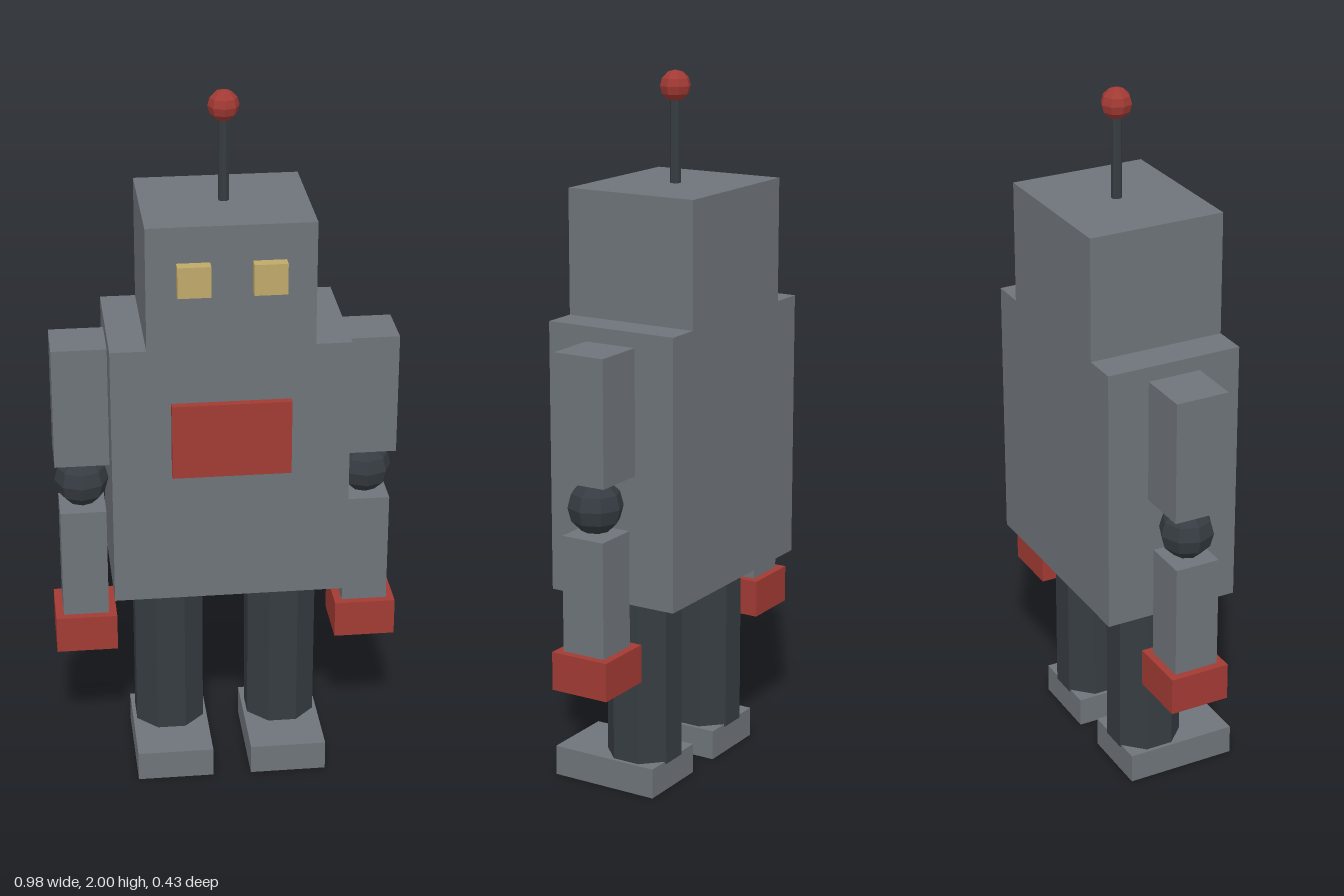
import * as THREE from 'three';

const flat = (name, color) => {
  const m = new THREE.MeshStandardMaterial({ color });
  m.name = name;
  m.flatShading = true;
  return m;
};

export function createModel() {
  const robot = new THREE.Group();
  robot.name = 'robot';
  const steel = flat('steel grey', 0x6e747a);
  const dark = flat('dark iron', 0x363c42);
  const red = flat('red', 0xa23a34);
  const amber = flat('amber', 0xc0a96a);
  const Z = -0.018; // depth centre of the body

  const add = (parent, name, geometry, material, x, y, z) => {
    const mesh = new THREE.Mesh(geometry, material);
    mesh.name = name;
    mesh.position.set(x, y, z);
    parent.add(mesh);
    return mesh;
  };
  // box from its bounds
  const box = (parent, name, material, x0, x1, y0, y1, z0, z1) =>
    add(parent, name, new THREE.BoxGeometry(x1 - x0, y1 - y0, z1 - z0), material,
      (x0 + x1) / 2, (y0 + y1) / 2, (z0 + z1) / 2);
  // eight-sided post with flats facing the axes
  const post = (parent, name, r, x, y0, y1) =>
    add(parent, name, new THREE.CylinderGeometry(r, r, y1 - y0, 8), dark,
      x, (y0 + y1) / 2, Z).rotation.y = Math.PI / 8;
  const ball = (parent, name, material, r, x, y) =>
    add(parent, name, new THREE.SphereGeometry(r, 8, 6), material, x, y, Z);

  // torso, head and chest panel
  box(robot, 'torso', steel, -0.328, 0.328, 0.583, 1.344, -0.215, 0.179);
  box(robot, 'head', steel, -0.229, 0.229, 1.344, 1.693, -0.215, 0.179);
  box(robot, 'chestPanel', red, -0.164, 0.164, 0.97, 1.186, 0.17, 0.201);

  // antenna
  post(robot, 'antennaRod', 0.015, 0, 1.68, 1.925);
  ball(robot, 'antennaTip', red, 0.043, 0, 1.957);

  for (const [side, s] of [['left', 1], ['right', -1]]) {
    // eye
    const cx = s * 0.102;
    box(robot, side + 'Eye', amber, cx - 0.045, cx + 0.045, 1.505, 1.592, 0.17, 0.212);

    // arm
    const arm = new THREE.Group();
    arm.name = side + 'Arm';
    robot.add(arm);
    const ax = s * 0.404;
    const segment = (name, material, w, y0, y1) =>
      box(arm, name, material, ax - w, ax + w, y0, y1, Z - w, Z + w);
    segment('upperArm', steel, 0.077, 0.95, 1.302);
    ball(arm, 'elbow', dark, 0.077, ax, 0.874);
    segment('forearm', steel, 0.065, 0.469, 0.797);
    segment('hand', red, 0.0875, 0.36, 0.469);

    // leg
    const leg = new THREE.Group();
    leg.name = side + 'Leg';
    robot.add(leg);
    const lx = s * 0.164;
    post(leg, 'legPost', 0.106, lx, 0.08, 0.59);
    box(leg, 'foot', steel, lx - 0.109, lx + 0.109, 0, 0.087, -0.113, 0.213);
  }
  return robot;
}
